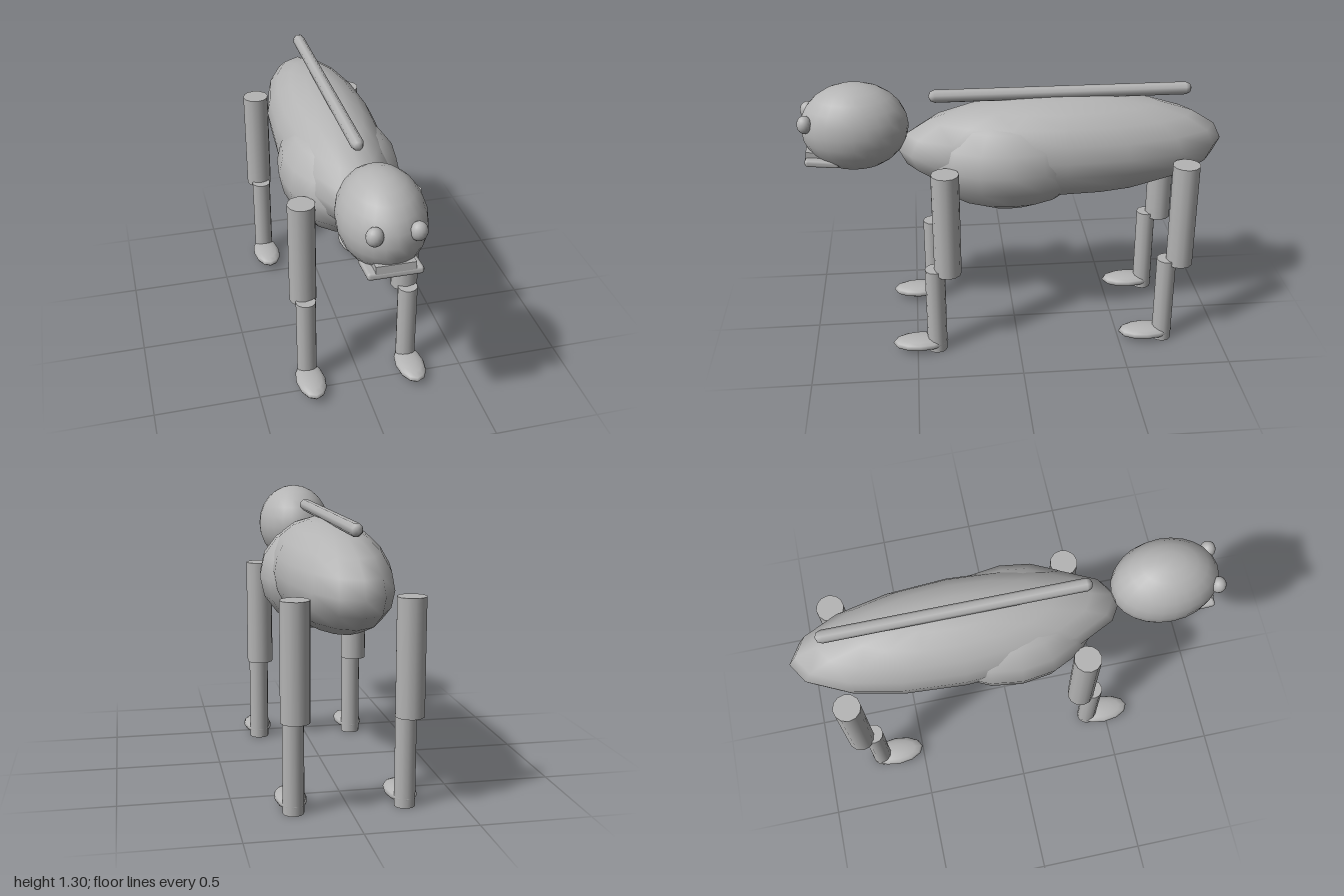
import * as THREE from 'three';
import { RoundedBoxGeometry } from 'three/addons/geometries/RoundedBoxGeometry.js';

export function createModel() {
  const model = new THREE.Group();
  model.name = 'quadruped';
  const grey = new THREE.MeshStandardMaterial({ color: 0xb4b4b4 });
  grey.name = 'plain grey';

  function add(name, geometry, x, y, z, parent = model) {
    const mesh = new THREE.Mesh(geometry, grey);
    mesh.name = name;
    mesh.position.set(x, y, z);
    parent.add(mesh);
    return mesh;
  }
  function ellipsoid(name, radii, position, around, rings, parent) {
    const geometry = new THREE.SphereGeometry(1, around, rings);
    geometry.scale(...radii);
    return add(name, geometry, ...position, parent);
  }

  // Torso, chest and head
  ellipsoid('body', [0.25, 0.25, 0.775], [0, 0.97, -0.225], 16, 10);
  ellipsoid('chest', [0.285, 0.257, 0.4], [0, 0.922, 0.03], 16, 8);
  ellipsoid('head', [0.188, 0.208, 0.25], [0, 1.097, 0.745], 24, 12);

  // Rod floating along the back
  const rod = new THREE.CapsuleGeometry(0.03, 1.18, 2, 8);
  rod.rotateY(Math.PI / 8);
  rod.rotateX(Math.PI / 2);
  add('backRod', rod, 0, 1.23, -0.22);

  // Jaw tilts up towards the front, with a bar of teeth on top
  const jaw = add('jaw', new RoundedBoxGeometry(0.24, 0.036, 0.16, 1, 0.015), 0, 0.957, 0.9);
  jaw.rotation.x = -0.1;
  const teeth = add('teeth', new THREE.BoxGeometry(0.17, 0.035, 0.08), 0, 0.987, 0.935);
  teeth.rotation.x = -0.1;

  for (const side of [-1, 1]) {
    const sideName = side > 0 ? 'left' : 'right';
    ellipsoid(sideName + 'Eye', [0.037, 0.042, 0.035], [side * 0.09, 1.148, 0.965], 16, 12);

    // Each leg is an upper and lower cylinder with an oval foot
    for (const [end, z] of [['Front', 0.34], ['Back', -0.78]]) {
      const leg = new THREE.Group();
      leg.name = sideName + end + 'Leg';
      leg.position.set(side * 0.248, 0, z);
      model.add(leg);
      add('upperLeg', new THREE.CylinderGeometry(0.065, 0.065, 0.52, 12), 0, 0.686, 0, leg);
      add('lowerLeg', new THREE.CylinderGeometry(0.048, 0.048, 0.45, 12), 0, 0.225, 0.062, leg);
      ellipsoid('foot', [0.071, 0.032, 0.135], [0, 0.04, 0.145], 12, 8, leg);
    }
  }
  return model;
}
